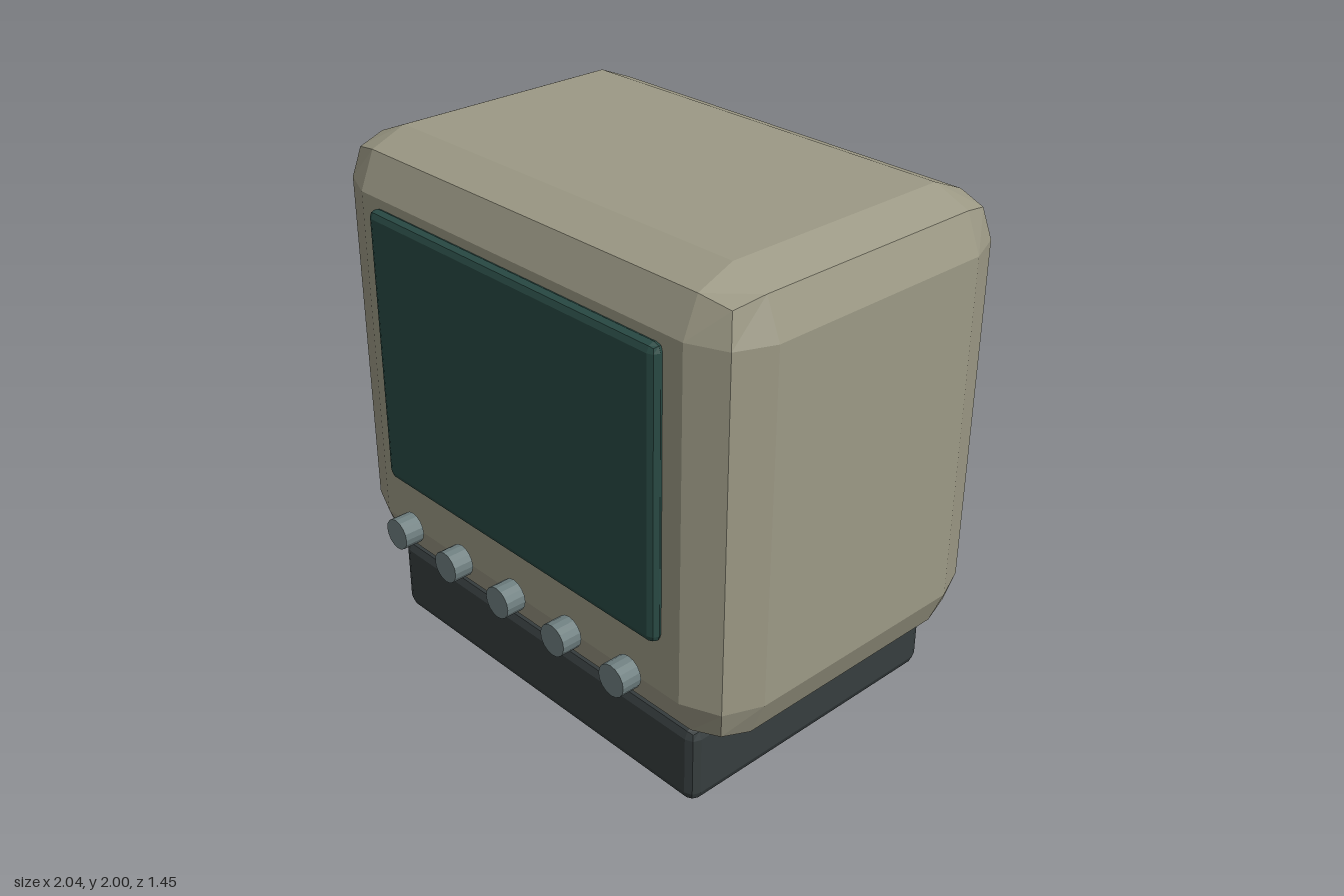
import * as THREE from 'three';
import { RoundedBoxGeometry } from 'three/addons/geometries/RoundedBoxGeometry.js';

const material = (color) => new THREE.MeshStandardMaterial({ color, flatShading: true });

// Single-step bevelled box, given by its visible extents [min, max] on each axis.
// With one segment the faces sit at r * 3 / sqrt(11) instead of r, so the size is enlarged to suit.
function bevelBox(name, x, y, z, radius, mat) {
  const grow = 2 * radius * (1 - 3 / Math.sqrt(11));
  const size = [x, y, z].map(([a, b]) => b - a + grow);
  const mesh = new THREE.Mesh(new RoundedBoxGeometry(...size, 1, radius), mat);
  mesh.position.set(...[x, y, z].map(([a, b]) => (a + b) / 2));
  mesh.name = name;
  return mesh;
}

export function createModel() {
  const group = new THREE.Group();
  group.name = 'monitor';

  // Case, base and screen
  group.add(
    bevelBox('case', [-1, 1], [0.29, 1.98], [-0.715, 0.585], 0.2, material(0x9c9985)),
    bevelBox('base', [-0.825, 0.825], [0, 0.305], [-0.67, 0.54], 0.04, material(0x363d3e)),
    bevelBox('screen', [-0.735, 0.735], [0.68, 1.765], [0.588, 0.643], 0.03, material(0x294a44)),
  );

  // Row of control knobs below the screen
  const knobs = new THREE.Group();
  knobs.name = 'knobs';
  const knobGeometry = new THREE.CylinderGeometry(0.062, 0.062, 0.08, 16).rotateX(Math.PI / 2);
  const knobMaterial = material(0x6f7f80);
  for (let i = -2; i <= 2; i++) {
    const knob = new THREE.Mesh(knobGeometry, knobMaterial);
    knob.name = 'knob';
    knob.position.set(i * 0.304, 0.505, 0.675);
    knobs.add(knob);
  }
  group.add(knobs);

  return group;
}
